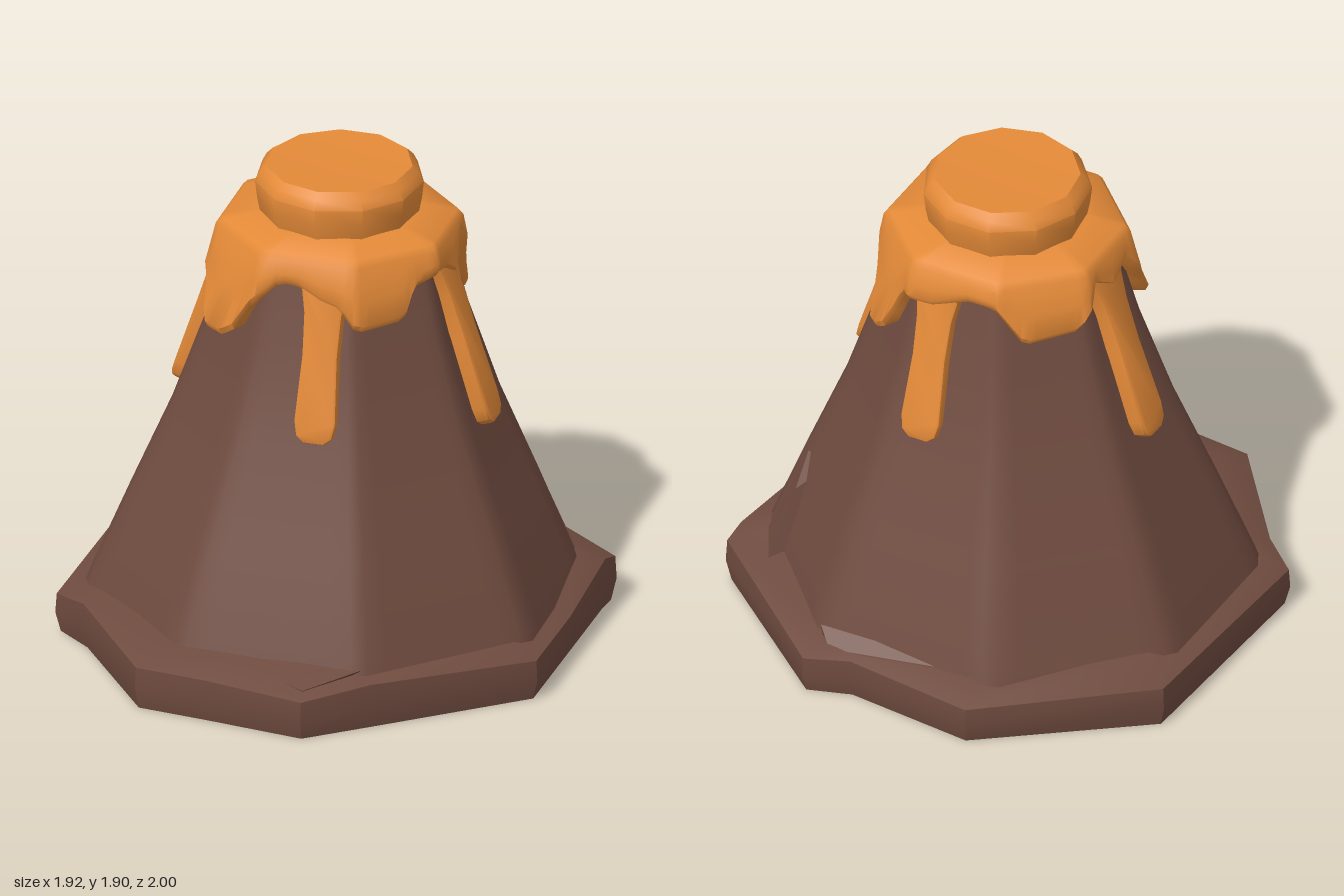
import * as THREE from 'three';
import { toCreasedNormals } from 'three/addons/utils/BufferGeometryUtils.js';
import { ConvexGeometry } from 'three/addons/geometries/ConvexGeometry.js';

const rad = THREE.MathUtils.degToRad;

// Piecewise linear lookup in [[x, y], ...]
function lerpKeys(keys, x) {
  for (let i = 1; i < keys.length; i++) {
    const [x0, y0] = keys[i - 1], [x1, y1] = keys[i];
    if (x <= x1) return y0 + (y1 - y0) * Math.max(0, (x - x0) / (x1 - x0));
  }
  return keys[keys.length - 1][1];
}

// Skin rings of equal length, listed from bottom to top, with optional end caps
function loft(rings, capBottom, capTop, crease = 0.6) {
  const n = rings[0].length, pos = rings.flat(2), idx = [];
  for (let r = 0; r < rings.length - 1; r++) {
    for (let i = 0; i < n; i++) {
      const j = (i + 1) % n, a = r * n + i, b = r * n + j;
      idx.push(a, a + n, b, b, a + n, b + n);
    }
  }
  const cap = (r, flip) => {
    const c = pos.length / 3;
    for (let k = 0; k < 3; k++) pos.push(rings[r].reduce((s, p) => s + p[k], 0) / n);
    for (let i = 0; i < n; i++) {
      const a = r * n + i, b = r * n + (i + 1) % n;
      idx.push(c, flip ? b : a, flip ? a : b);
    }
  };
  if (capBottom) cap(0, false);
  if (capTop) cap(rings.length - 1, true);
  const g = new THREE.BufferGeometry();
  g.setAttribute('position', new THREE.Float32BufferAttribute(pos, 3));
  g.setIndex(idx);
  return toCreasedNormals(g, crease);
}

// Octagon radius at an angle, for a given distance to its flat sides
function octagon(a, apothem) {
  const side = Math.PI / 4;
  return apothem / Math.cos(a - Math.round(a / side) * side);
}
// Point round the slightly leaning axis
const around = (a, r, y) => [0.016 * y + Math.cos(a) * r, y, -0.033 + Math.sin(a) * r * 0.965];

// Distance from axis to the cone's flat sides, by height
const slope = [[0.16, 0.88], [0.25, 0.85], [0.6, 0.715], [0.95, 0.575], [1.3, 0.46], [1.65, 0.37]];

// Lower edge of the lava skirt: [degrees from +x toward +z, height]
const hem = [
  [0, 1.5], [10, 1.55], [20, 1.57], [35, 1.54], [42, 1.43], [66, 1.42], [73, 1.5], [82, 1.52],
  [95, 1.57], [104, 1.57], [118, 1.45], [124, 1.35], [131, 1.31], [144, 1.3], [152, 1.42], [165, 1.57],
  [180, 1.52], [195, 1.59], [208, 1.45], [235, 1.43], [248, 1.58], [262, 1.58],
  [282, 1.52], [298, 1.52], [308, 1.32], [318, 1.28], [330, 1.45], [342, 1.62], [352, 1.55], [360, 1.5],
];

export function createModel() {
  const model = new THREE.Group();
  const rock = new THREE.MeshStandardMaterial({ color: 0x6f4b3f });
  rock.name = 'brownRock';
  const lava = new THREE.MeshStandardMaterial({ color: 0xe48a38 });
  lava.name = 'orangeLava';
  const add = (name, geometry, material, parent = model) => {
    const mesh = new THREE.Mesh(geometry, material);
    mesh.name = name;
    parent.add(mesh);
    return mesh;
  };

  // Irregular foot slab: [x, z, rim height]
  const outline = [
    [0.94, 0.0, 0.16], [0.93, 0.4, 0.16], [0.41, 0.82, 0.18], [0.19, 0.995, 0.155],
    [-0.2, 0.945, 0.17], [-0.48, 0.915, 0.17], [-0.82, 0.47, 0.18], [-0.96, 0.36, 0.155],
    [-0.92, -0.55, 0.17], [-0.32, -1.0, 0.15], [0.2, -0.945, 0.16], [0.37, -1.0, 0.15],
    [0.96, -0.51, 0.18], [0.95, -0.42, 0.21],
  ];
  add('footSlab', loft([
    outline.map(([x, z]) => [x * 0.98, 0, z * 0.98]),
    outline.map(([x, z, h]) => [x, h * 0.5, z]),
    outline.map(([x, z, h]) => [x * 0.995, h, z * 0.995]),
    outline.map(([x, z, h]) => [x * 0.86, h + 0.055, z * 0.86]),
  ], true, true), rock);

  // Eight-sided mountain: flat faces with narrow softened corners
  const corner = [-7, -2, 2, 7];
  add('mountainCone', loft(slope.map(([y, apothem]) =>
    Array.from({ length: 32 }, (_, i) => {
      const a = rad(22.5 + Math.floor(i / 4) * 45 + corner[i % 4]);
      return around(a, octagon(a, apothem), y);
    })), true, true), rock);

  // Loose rock slabs against the foot
  const boulder = (name, points) => add(name,
    toCreasedNormals(new ConvexGeometry(points.map(p => new THREE.Vector3(...p))), 0.3), rock);
  boulder('frontLedge', [
    [-0.12, 0.21, 0.82], [0.1, 0.24, 0.74], [0.3, 0.24, 0.72], [0.36, 0.22, 0.79], [0.18, 0.18, 0.94],
    [-0.1, 0.12, 0.8], [0.3, 0.12, 0.74], [0.17, 0.12, 0.88],
  ]);
  boulder('leaningSlab', [
    [0.685, 0.6, -0.37], [0.69, 0.48, -0.46], [0.75, 0.2, -0.57], [0.84, 0.2, -0.43],
    [0.6, 0.55, -0.36], [0.6, 0.15, -0.48],
  ]);
  boulder('backLedge', [
    [-0.36, 0.22, -0.84], [-0.22, 0.23, -0.78], [0.36, 0.23, -0.87], [0.3, 0.17, -0.92],
    [-0.28, 0.12, -0.88], [0.34, 0.12, -0.88], [0, 0.12, -0.7],
  ]);

  // Lava skirt with a wavy hem that flares where it hangs lowest
  const n = 96;
  const ring = (radius, height) => Array.from({ length: n }, (_, i) => {
    const a = i / n * Math.PI * 2, low = lerpKeys(hem, i / n * 360);
    const y = height(low);
    return around(a, radius(a, y), y);
  });
  const skin = offset => (a, y) => octagon(a, lerpKeys(slope, y) + offset);
  const flared = offset => (a, y) => skin(offset + Math.max(0, 1.45 - y) * 0.15)(a, y);
  add('lavaSkirt', loft([
    ring(skin(-0.02), low => low + 0.01),
    ring(flared(0.035), low => low),
    ring(flared(0.058), low => low + 0.025),
    ring(skin(0.06), low => (low + 1.66) / 2),
    ring(a => octagon(a, 0.43), () => 1.665),
    ring(a => octagon(a, 0.41), () => 1.69),
    ring(() => 0.27, () => 1.725),
  ], false, true, 0.85), lava);

  // Bulging lava plug at the summit
  const plug = [[0.285, 1.66], [0.3, 1.72], [0.31, 1.77], [0.318, 1.84], [0.3, 1.875], [0.275, 1.9], [0, 1.89]];
  const plugGeometry = new THREE.LatheGeometry(plug.map(p => new THREE.Vector2(...p)), 11);
  add('lavaPlug', toCreasedNormals(plugGeometry, 0.75), lava).position.set(0.027, 0, -0.033);

  // Long drips: [turn, sideways shift, bottom height, reach at tip, reach at root]
  const drips = [
    [0, 0.075, 1.0, 0.56, 0.4], [90, -0.02, 0.94, 0.63, 0.418],
    [180, -0.08, 1.0, 0.57, 0.4], [270, -0.02, 0.94, 0.64, 0.418],
  ];
  for (const [turn, shift, bottom, tip, root] of drips) {
    const len = (1.62 - bottom) * 1.04;
    // Half outline from the rounded tip up to the flared root
    const half = [[0.035, 0], [0.06, 0.02], [0.07, 0.07], [0.058, len * 0.5], [0.063, len * 0.75], [0.08, len * 0.9], [0.11, len]];
    const mirrored = half.map(([x, y]) => [-x, y]).reverse();
    const s = new THREE.Shape([...half, ...mirrored].map(p => new THREE.Vector2(...p)));
    const g = new THREE.ExtrudeGeometry(s, {
      depth: 0.07, bevelThickness: 0.018, bevelSize: 0.012, bevelSegments: 2,
    });
    g.translate(0, 0, -0.088);
    const pivot = new THREE.Group();
    pivot.name = 'lavaDrip';
    pivot.position.set(0.02, 0, -0.03);
    pivot.rotation.y = rad(turn);
    const drip = add('dripBody', toCreasedNormals(g, 0.7), lava, pivot);
    drip.position.set(shift, bottom + 0.01, tip);
    drip.rotation.x = -Math.atan((tip - root) / (1.62 - bottom));
    model.add(pivot);
  }
  return model;
}
